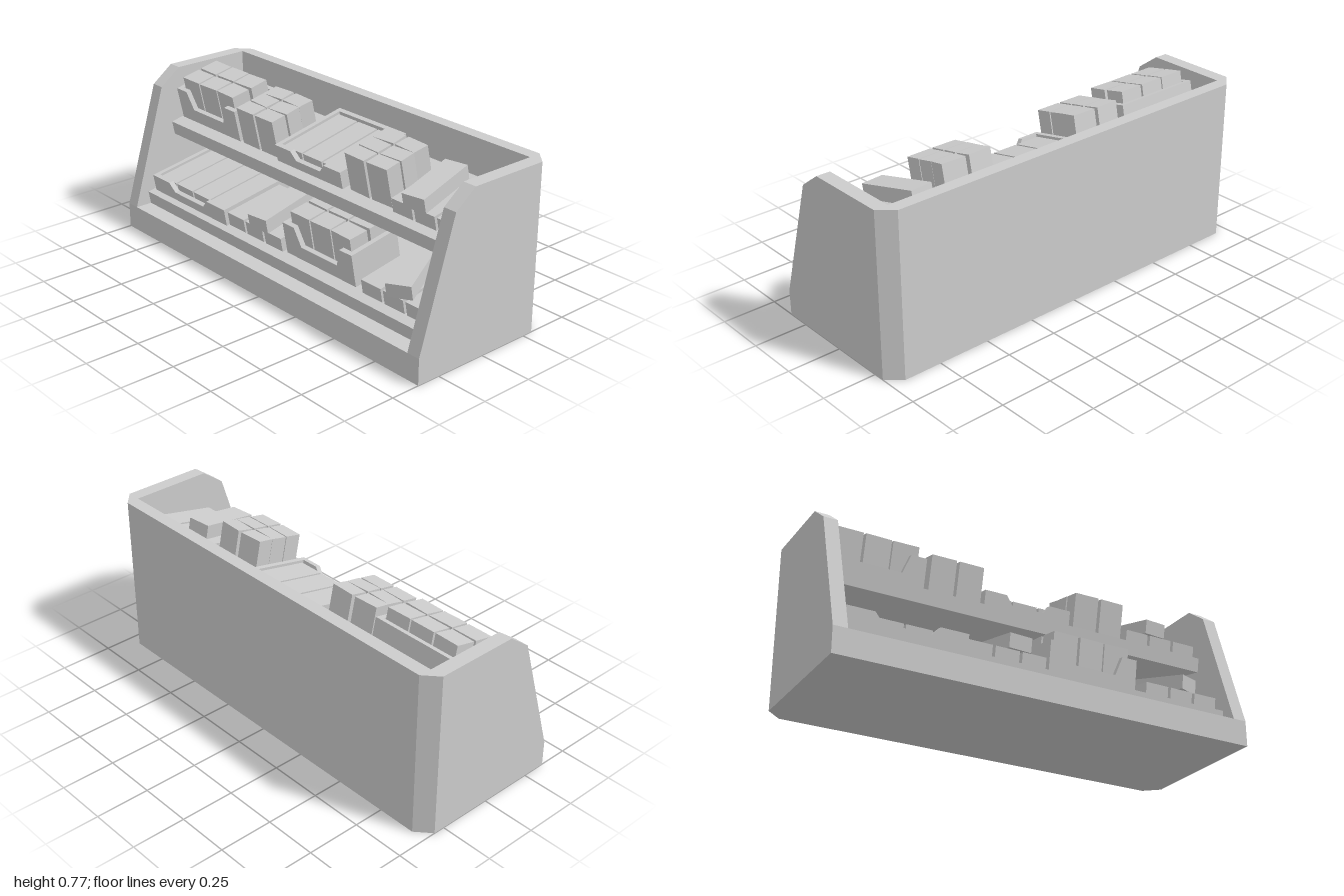
import * as THREE from 'three';

const grey = new THREE.MeshStandardMaterial({ color: 0xcccccc });
grey.name = 'plain grey';

function add(parent, name, geometry, x = 0, y = 0, z = 0, yaw = 0) {
  const mesh = new THREE.Mesh(geometry, grey);
  mesh.name = name;
  mesh.position.set(x, y, z);
  mesh.rotation.y = yaw;
  parent.add(mesh);
  return mesh;
}

// Box given by its centre in x and z and by its underside in y
function block(parent, name, w, h, d, x, y, z, yaw = 0) {
  return add(parent, name, new THREE.BoxGeometry(w, h, d), x, y + h / 2, z, yaw);
}

function extrude(points, depth) {
  const shape = new THREE.Shape(points.map(([x, y]) => new THREE.Vector2(x, y)));
  return new THREE.ExtrudeGeometry(shape, { depth, bevelEnabled: false });
}

// Sloping shelf whose origin is the middle of its upper front edge
function shelf(parent, name, y, z, depth, slope) {
  const group = new THREE.Group();
  group.name = name;
  group.position.set(0, y, z);
  group.rotation.x = Math.atan(slope);
  block(group, 'shelfBoard', 1.87, 0.067, depth, 0, -0.067, -depth / 2);
  parent.add(group);
  return group;
}

// Open crate with a dip in the front wall, holding a grid of cartons
function crate(parent, o) {
  const group = new THREE.Group();
  group.name = 'crate';
  group.position.set(o.x, 0, o.front);
  const t = 0.024, w = o.w / 2;
  block(group, 'crateFloor', o.w, 0.015, o.d, 0, 0, -o.d / 2);
  block(group, 'crateBackWall', o.w, o.h, t, 0, 0, t / 2 - o.d);
  for (const s of [-1, 1]) {
    block(group, 'crateSideWall', t, o.h, o.d, s * (w - t / 2), 0, -o.d / 2);
  }
  const front = extrude([
    [-w, 0], [w, 0], [w, o.h], [o.dipTop, o.h], [o.dipBottom, o.dip],
    [-o.dipBottom, o.dip], [-o.dipTop, o.h], [-w, o.h],
  ], t);
  add(group, 'crateFrontWall', front, 0, 0, -t);
  const room = o.d - 2 * t, pitch = room / o.rows;
  for (let c = 0; c < o.columns; c++) {
    for (let r = 0; r < o.rows; r++) {
      const yaw = o.rows > 1 ? 0.04 * Math.sin(c * 2.3 + r * 4.1) : 0;
      block(group, 'crateCarton', 0.122, o.cartonHeight, pitch - 0.012,
        (c - (o.columns - 1) / 2) * 0.132, 0.015, -t - (r + 0.5) * pitch, yaw);
    }
  }
  parent.add(group);
}

const deepCrate = {
  w: 0.445, h: 0.155, d: 0.26, dip: 0.066, dipTop: 0.147, dipBottom: 0.115,
  columns: 3, rows: 2, cartonHeight: 0.192,
};
const flatCrate = {
  w: 0.435, h: 0.082, d: 0.395, dip: 0.042, dipTop: 0.11, dipBottom: 0.08,
  columns: 3, rows: 1, cartonHeight: 0.055,
};

// Two columns of upright cartons, three deep
function uprightCartons(parent, x) {
  for (let c = 0; c < 2; c++) {
    for (let r = 0; r < 3; r++) {
      block(parent, 'uprightCarton', 0.12, 0.183, 0.077,
        x + (c - 0.5) * 0.134, 0, -0.105 - r * 0.083, 0.06 * Math.sin(x * 9 + c * 3 + r * 2));
    }
  }
}

// Three flat cartons side by side with a turned one on top
function flatCartons(parent, x, z, top) {
  for (let i = -1; i <= 1; i++) {
    block(parent, 'flatCarton', 0.117, 0.066, 0.31, x + i * 0.131, 0, z);
  }
  block(parent, 'looseCarton', 0.114, 0.066, 0.295, top.x, 0.067, top.z, top.yaw);
}

export function createModel() {
  const model = new THREE.Group();
  model.name = 'displayStand';

  // Cabinet: side panels, back with chamfered corners, plinth
  const profile = [
    [0.363, 0], [0.363, 0.12], [0.187, 0.692], [0.083, 0.77], [-0.302, 0.77], [-0.302, 0],
  ];
  for (const x of [1, -0.935]) {
    add(model, 'sidePanel', extrude(profile, 0.065).rotateY(-Math.PI / 2), x);
  }
  const plan = [[1, 0.302], [0.932, 0.362], [-0.932, 0.362], [-1, 0.302]];
  add(model, 'backPanel', extrude(plan, 0.77).rotateX(-Math.PI / 2));
  block(model, 'plinth', 1.87, 0.12, 0.665, 0, 0, 0.0305);

  // Upper shelf and its goods
  const upper = shelf(model, 'upperShelf', 0.506, 0.136, 0.449, 0.215);
  crate(upper, { ...deepCrate, x: -0.703, front: -0.065 });
  uprightCartons(upper, -0.33);
  crate(upper, { ...flatCrate, x: 0.027, front: -0.05 });
  uprightCartons(upper, 0.405);
  flatCartons(upper, 0.745, -0.205, { x: 0.685, z: -0.185, yaw: 0.13 });

  // Lower shelf and its goods
  const lower = shelf(model, 'lowerShelf', 0.183, 0.292, 0.6, 0.176);
  crate(lower, { ...flatCrate, x: -0.637, front: -0.035, w: 0.56, dipTop: 0.147, dipBottom: 0.11, columns: 4 });
  flatCartons(lower, -0.163, -0.205, { x: -0.125, z: -0.185, yaw: 0.1 });
  crate(lower, { ...deepCrate, x: 0.27, front: -0.06 });
  flatCartons(lower, 0.735, -0.205, { x: 0.715, z: -0.185, yaw: 0.42 });

  return model;
}
